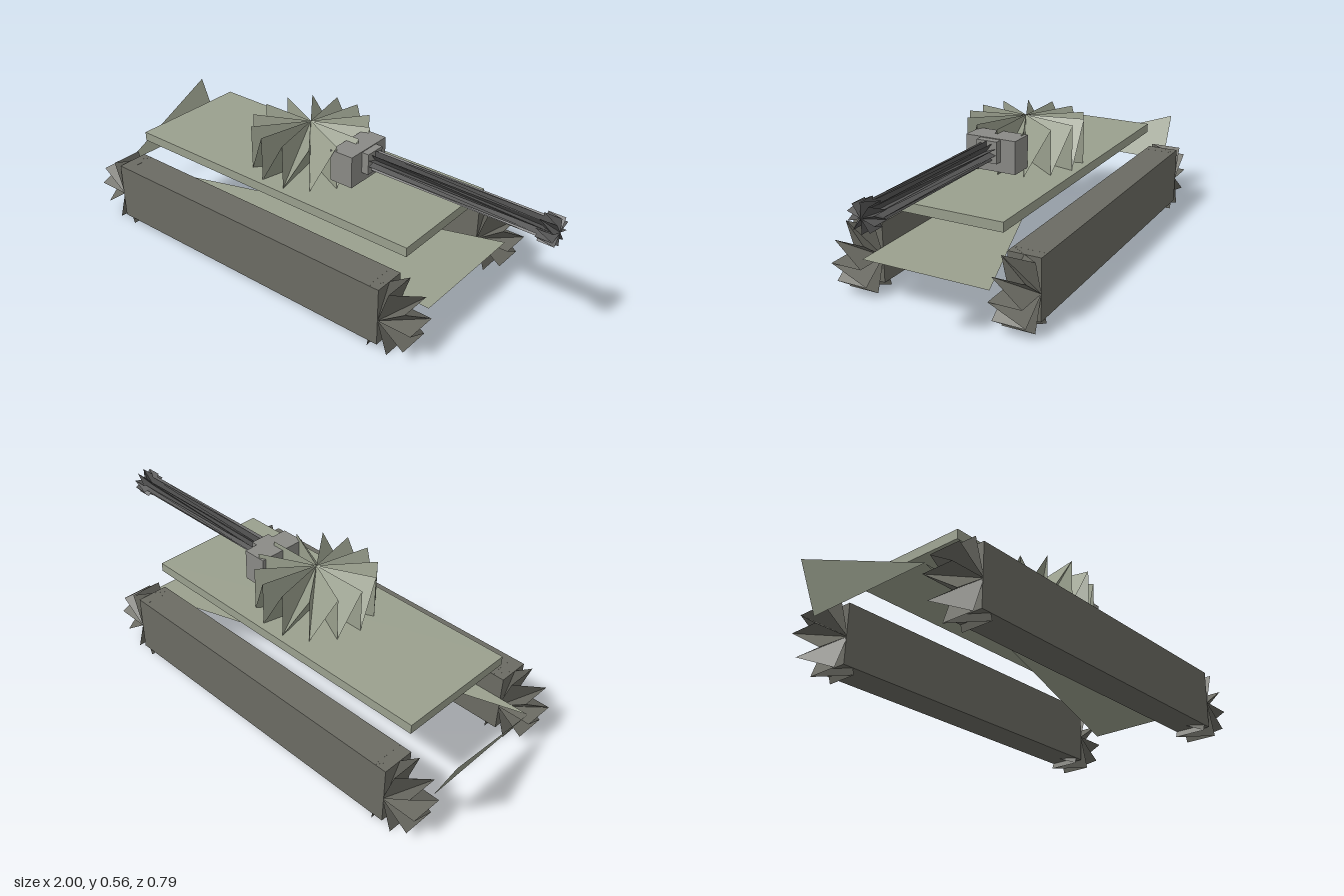
import * as THREE from 'three';

const mat = (color) => new THREE.MeshStandardMaterial({ color, flatShading: true, side: THREE.DoubleSide });
const hullMat = mat(0x9aa08e), trackMat = mat(0x6b6b63), gunMat = mat(0x8a8a86), darkMat = mat(0x555555);

// Triangles given as a flat list of [x, y, z] corners
function facets(corners) {
  const g = new THREE.BufferGeometry();
  g.setAttribute('position', new THREE.Float32BufferAttribute(corners.flat(), 3));
  g.computeVertexNormals();
  return g;
}

// Pleated drum along y: a saw-tooth rim joined to the centre of each end
function pleatedDrum(r, h, n) {
  const rim = [];
  for (let i = 0; i <= n; i++) {
    const a = (i / n) * Math.PI * 2;
    const x = r * Math.cos(a), z = -r * Math.sin(a);
    rim.push([x, h / 2, z], [x, -h / 2, z]);
  }
  const corners = [];
  for (let i = 0; i < 2 * n; i++) {
    corners.push([0, h / 2, 0], rim[i], rim[i + 1]);
    corners.push([0, -h / 2, 0], rim[i + 1], rim[i]);
  }
  return facets(corners);
}

export function createModel() {
  const model = new THREE.Group();
  const add = (name, geometry, material, x = 0, y = 0, z = 0) => {
    const m = new THREE.Mesh(geometry, material);
    m.name = name;
    m.position.set(x, y, z);
    model.add(m);
    return m;
  };
  // Box from its limits on each axis
  const box = (name, material, x0, x1, y0, y1, z0, z1) =>
    add(name, new THREE.BoxGeometry(x1 - x0, y1 - y0, z1 - z0), material,
      (x0 + x1) / 2, (y0 + y1) / 2, (z0 + z1) / 2);

  // Tracks with a pleated wheel at each end
  for (const s of [1, -1]) {
    const side = s > 0 ? 'left' : 'right';
    const z = s * 0.3275;
    box(side + 'Track', trackMat, -0.795, 0.55, 0.025, 0.266, z - 0.0655, z + 0.0655);
    for (const x of [-0.79, 0.55]) {
      add(side + (x < 0 ? 'RearWheel' : 'FrontWheel'), pleatedDrum(0.14, 0.131, 10), trackMat, x, 0.133, z)
        .rotation.x = Math.PI / 2;
    }
  }

  // Deck, and the open lower hull with its torn tail plate
  box('deck', hullMat, -0.78, 0.565, 0.336, 0.374, -0.255, 0.255);
  add('hullFloor', facets([[-0.92, 0.175, 0.262], [0.675, 0.17, 0.262], [0.675, 0.17, -0.262]]), hullMat);
  add('tailPlate', facets([[-1, 0.362, -0.289], [-0.92, 0.17, -0.289], [-0.92, 0.178, 0.262]]), hullMat);

  // Turret
  add('turret', pleatedDrum(0.235, 0.181, 14), hullMat, -0.08, 0.4645, 0);

  // Gun
  box('mantlet', gunMat, 0.105, 0.205, 0.406, 0.536, -0.105, 0.105);
  box('gunCollar', gunMat, 0.2, 0.235, 0.447, 0.533, -0.043, 0.043);
  add('barrel', pleatedDrum(0.04, 0.77, 10), darkMat, 0.615, 0.492, 0).rotation.z = -Math.PI / 2;
  add('muzzle', pleatedDrum(0.054, 0.066, 10), darkMat, 0.967, 0.492, 0).rotation.z = -Math.PI / 2;

  return model;
}
